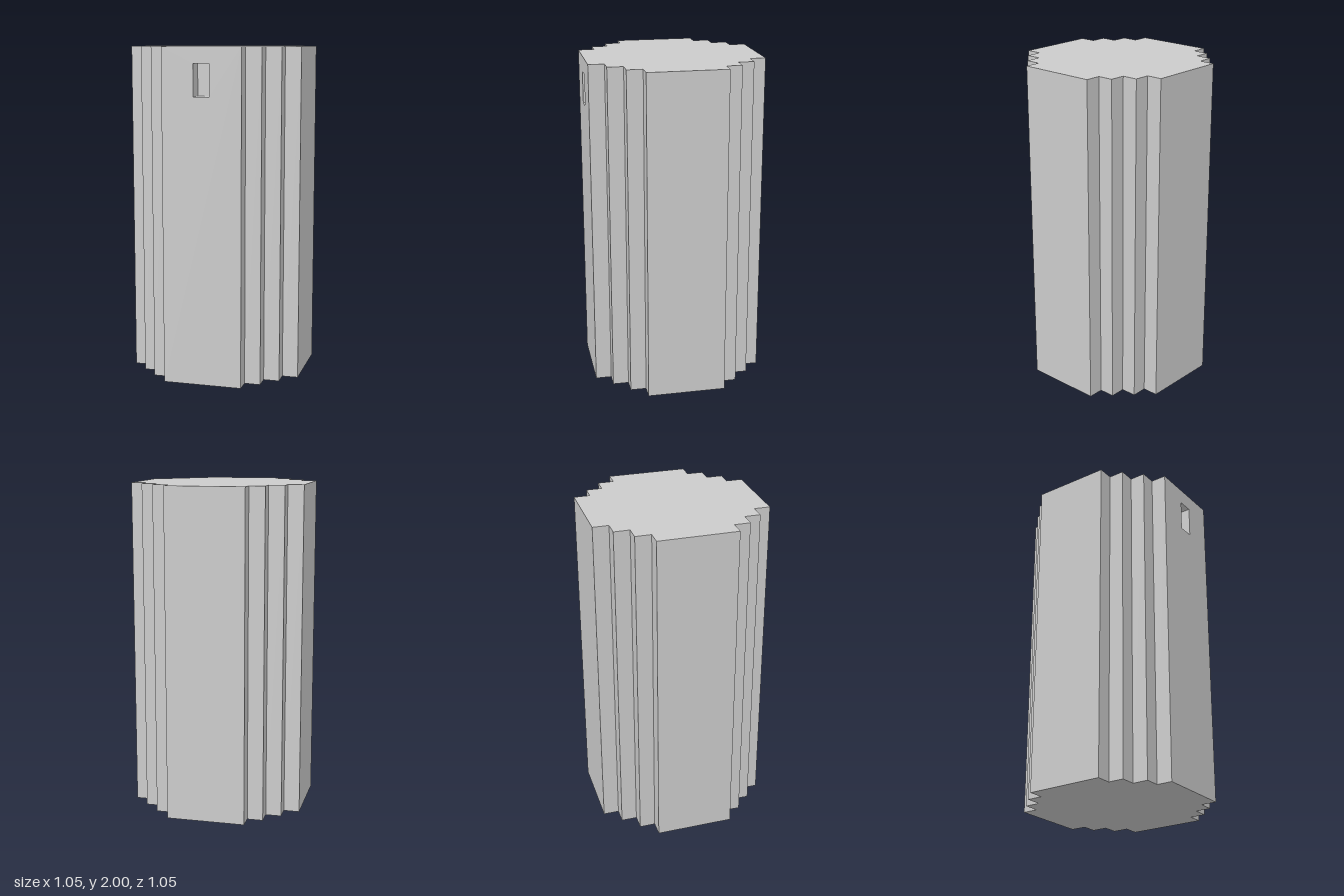
import * as THREE from 'three';

const U = 2 / 21; // one block: the tower is 21 blocks tall and 11 wide
const H = 21 * U;

export function createModel() {
  const group = new THREE.Group();
  const material = new THREE.MeshStandardMaterial({ color: 0xcccccc, flatShading: true });
  const add = (name, geometry, parent = group) => {
    const mesh = new THREE.Mesh(geometry, material);
    mesh.name = name;
    parent.add(mesh);
    return mesh;
  };

  // Stepped plan outline: one staircase corner turned four times, from +x towards +z
  const corner = [[5.5, 2.5], [4.5, 2.5], [4.5, 3.5], [3.5, 3.5], [3.5, 4.5], [2.5, 4.5], [2.5, 5.5]];
  const outline = [];
  let quarter = corner;
  for (let q = 0; q < 4; q++) {
    outline.push(...quarter.map(([x, z]) => new THREE.Vector2(x * U, z * U)));
    quarter = quarter.map(([x, z]) => [-z, x]);
  }

  // Side walls, one per outline edge; the front edge is made separately
  const walls = new THREE.Group();
  walls.name = 'walls';
  group.add(walls);
  const frontEdge = corner.length - 1;
  outline.forEach((a, i) => {
    if (i === frontEdge) return;
    const b = outline[(i + 1) % outline.length];
    const wall = new THREE.PlaneGeometry(a.distanceTo(b), H);
    wall.rotateY(Math.atan2(b.y - a.y, a.x - b.x));
    wall.translate((a.x + b.x) / 2, H / 2, (a.y + b.y) / 2);
    add('wall', wall, walls);
  });

  // Roof and base
  const plan = new THREE.Shape(outline);
  add('roof', new THREE.ShapeGeometry(plan).rotateX(-Math.PI / 2).translate(0, H, 0));
  add('base', new THREE.ShapeGeometry(plan).rotateX(Math.PI / 2));

  // Front wall with the window opening
  const rect = (Type, w, y0, y1) => new Type([[-w, y0], [w, y0], [w, y1], [-w, y1]]
    .map(([x, y]) => new THREE.Vector2(x * U, y * U)));
  const front = rect(THREE.Shape, 2.5, 0, 21);
  front.holes.push(rect(THREE.Path, 0.5, 18, 20));
  add('frontWall', new THREE.ShapeGeometry(front).translate(0, 0, 5.5 * U));

  // Window recess: a box turned inside out, without its front face
  const recess = new THREE.BoxGeometry(U, 2 * U, U).scale(-1, 1, 1);
  const index = Array.from(recess.index.array);
  index.splice(24, 6);
  recess.setIndex(index);
  recess.clearGroups();
  recess.computeVertexNormals();
  add('windowRecess', recess.translate(0, 19 * U, 5 * U));

  return group;
}
